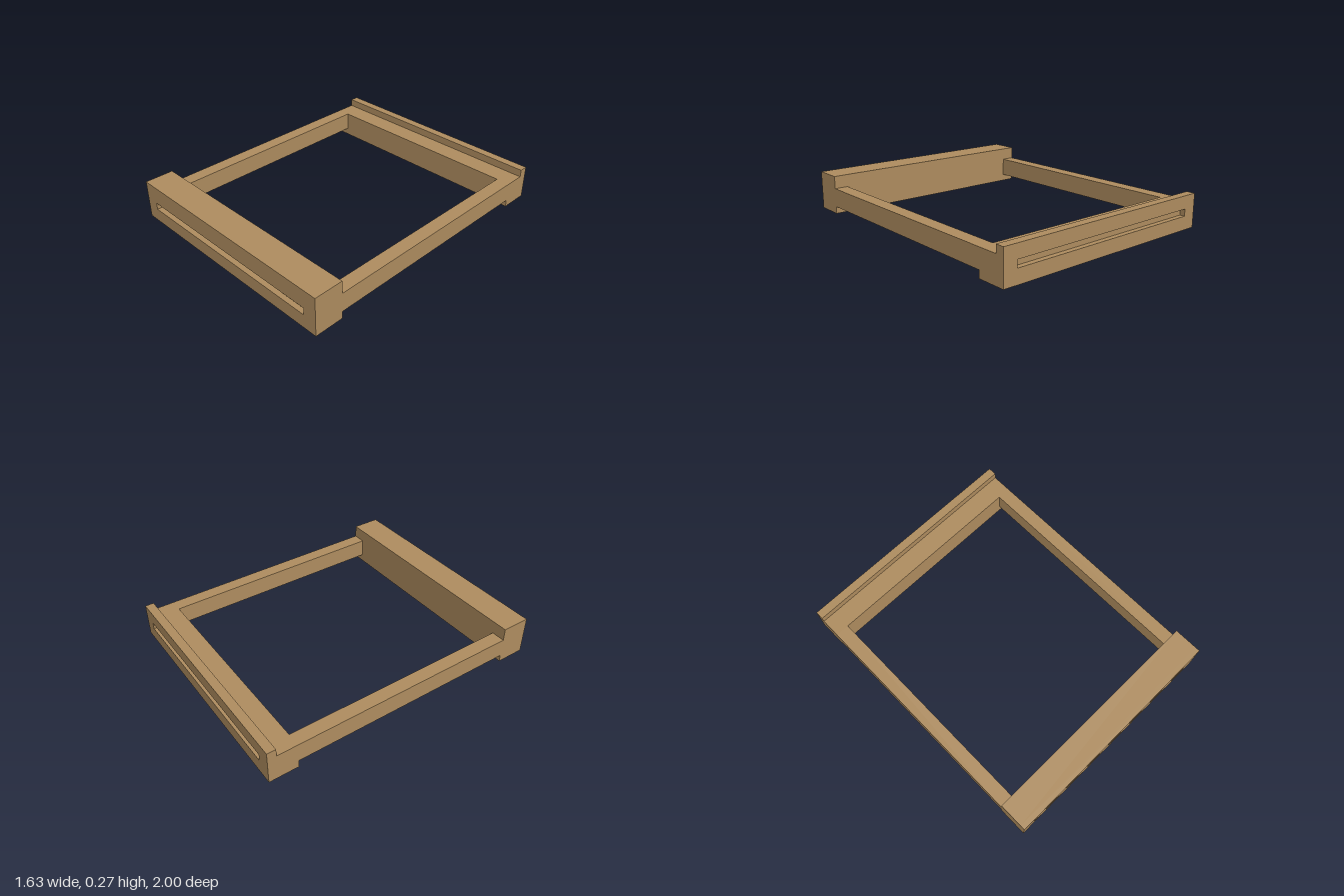
import * as THREE from 'three';

const HALF_W = 0.817, INNER_W = 0.722, SLOT_DEPTH = 0.035;

export function createModel() {
  const group = new THREE.Group();
  const wood = new THREE.MeshStandardMaterial({ color: 0xb08e60 });
  wood.name = 'light wood';

  const add = (name, geometry, parent = group) => {
    const mesh = new THREE.Mesh(geometry, wood);
    mesh.name = name;
    parent.add(mesh);
    return mesh;
  };

  // Box given by its limits on each axis
  const block = (name, x0, x1, y0, y1, z0, z1, parent) =>
    add(name, new THREE.BoxGeometry(x1 - x0, y1 - y0, z1 - z0), parent)
      .position.set((x0 + x1) / 2, (y0 + y1) / 2, (z0 + z1) / 2);

  const rectangle = (path, x, y0, y1) =>
    path.moveTo(-x, y0).lineTo(x, y0).lineTo(x, y1).lineTo(-x, y1).closePath();

  // Outer face of a beam, cut through by a long slot
  const slottedFace = (name, height, z, parent) => {
    const shape = rectangle(new THREE.Shape(), HALF_W, 0, height);
    shape.holes.push(rectangle(new THREE.Path(), INNER_W, 0.094, 0.142));
    const geometry = new THREE.ExtrudeGeometry(shape, { depth: SLOT_DEPTH, bevelEnabled: false });
    add(name, geometry, parent).position.z = z;
  };

  // Tall front beam
  const front = new THREE.Group();
  front.name = 'frontBeam';
  block('frontBeamBody', -HALF_W, HALF_W, 0, 0.267, 0.8, 1 - SLOT_DEPTH, front);
  slottedFace('frontSlottedFace', 0.267, 1 - SLOT_DEPTH, front);

  // Lower back beam with a raised lip along its outer edge
  const back = new THREE.Group();
  back.name = 'backBeam';
  block('backBeamBody', -HALF_W, HALF_W, 0, 0.18, -1 + SLOT_DEPTH, -0.8, back);
  block('backLip', -HALF_W, HALF_W, 0.18, 0.232, -1 + SLOT_DEPTH, -0.94, back);
  slottedFace('backSlottedFace', 0.232, -1, back);
  group.add(front, back);

  // Side rails joining the beams
  block('leftRail', INNER_W, HALF_W, 0.05, 0.18, -0.8, 0.8);
  block('rightRail', -HALF_W, -INNER_W, 0.05, 0.18, -0.8, 0.8);

  return group;
}
